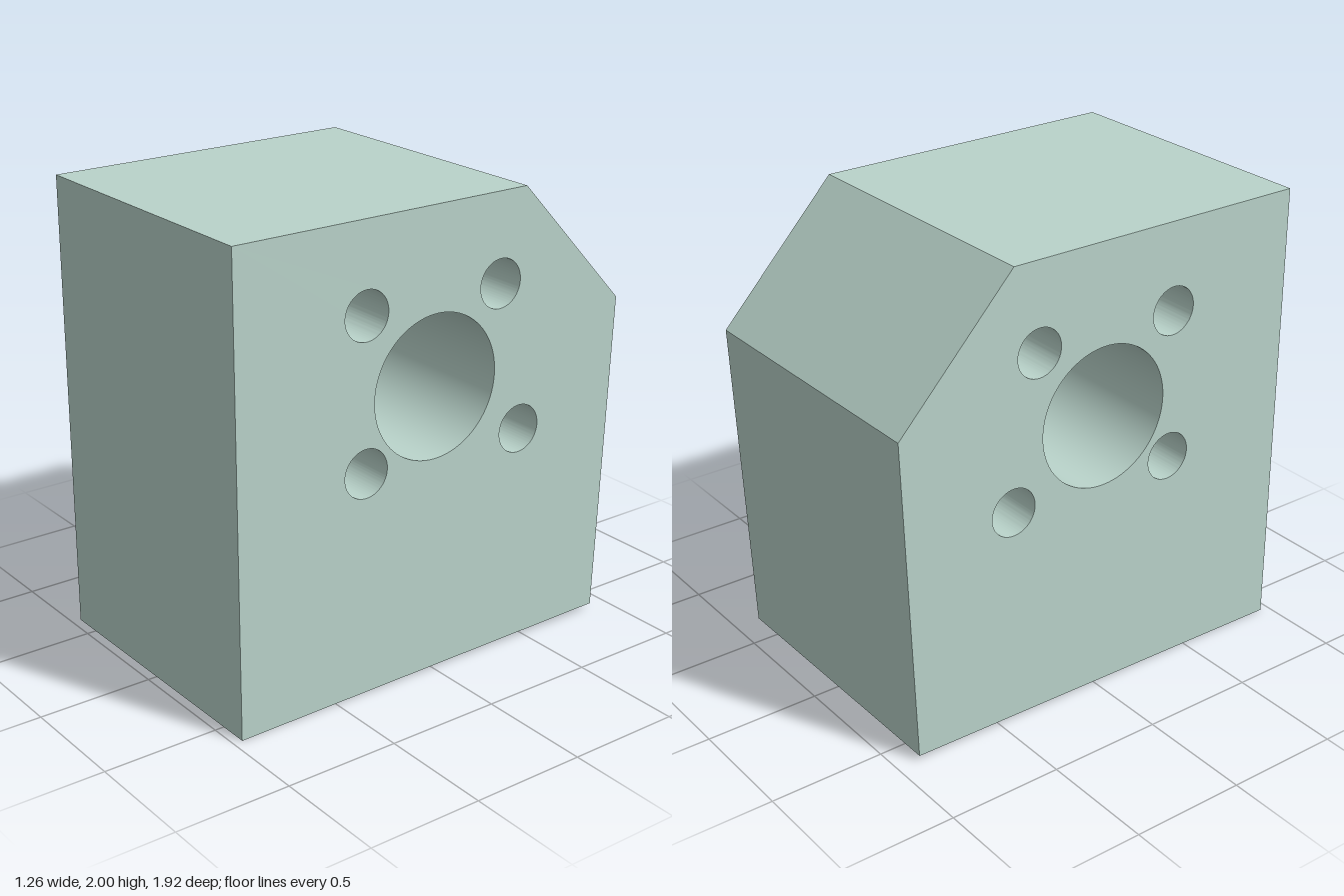
import * as THREE from 'three';
import { toCreasedNormals } from 'three/addons/utils/BufferGeometryUtils.js';

const WIDTH = 1.26;

export function createModel() {
  const group = new THREE.Group();
  group.name = 'mountingBlock';

  // Side profile as (z, y): chamfered top back, slightly tapered back and base
  const profile = new THREE.Shape([
    [0.96, 0], [0.96, 2], [-0.435, 2], [-0.96, 1.44], [-0.9, 0.024],
  ].map(([z, y]) => new THREE.Vector2(z, y)));

  // Through holes as (z, y, radius): central bore and four bolt holes
  const holes = [
    [0.012, 1.256, 0.305],
    [0.356, 1.62, 0.104],
    [-0.312, 1.62, 0.104],
    [0.356, 0.973, 0.104],
    [-0.433, 0.973, 0.104],
  ];
  for (const [z, y, r] of holes) {
    profile.holes.push(new THREE.Path().absarc(z, y, r, 0, Math.PI * 2, true));
  }

  // Extrude across the width, then turn the profile into the z-y plane
  const extruded = new THREE.ExtrudeGeometry(profile, {
    depth: WIDTH, bevelEnabled: false, curveSegments: 64,
  });
  extruded.translate(0, 0, -WIDTH / 2).rotateY(-Math.PI / 2);

  // Smooth bores, sharp block edges (the base is almost square to the back)
  const block = new THREE.Mesh(
    toCreasedNormals(extruded, Math.PI / 6),
    new THREE.MeshStandardMaterial({ color: 0xb9d3ca }),
  );
  block.name = 'block';
  group.add(block);
  return group;
}
